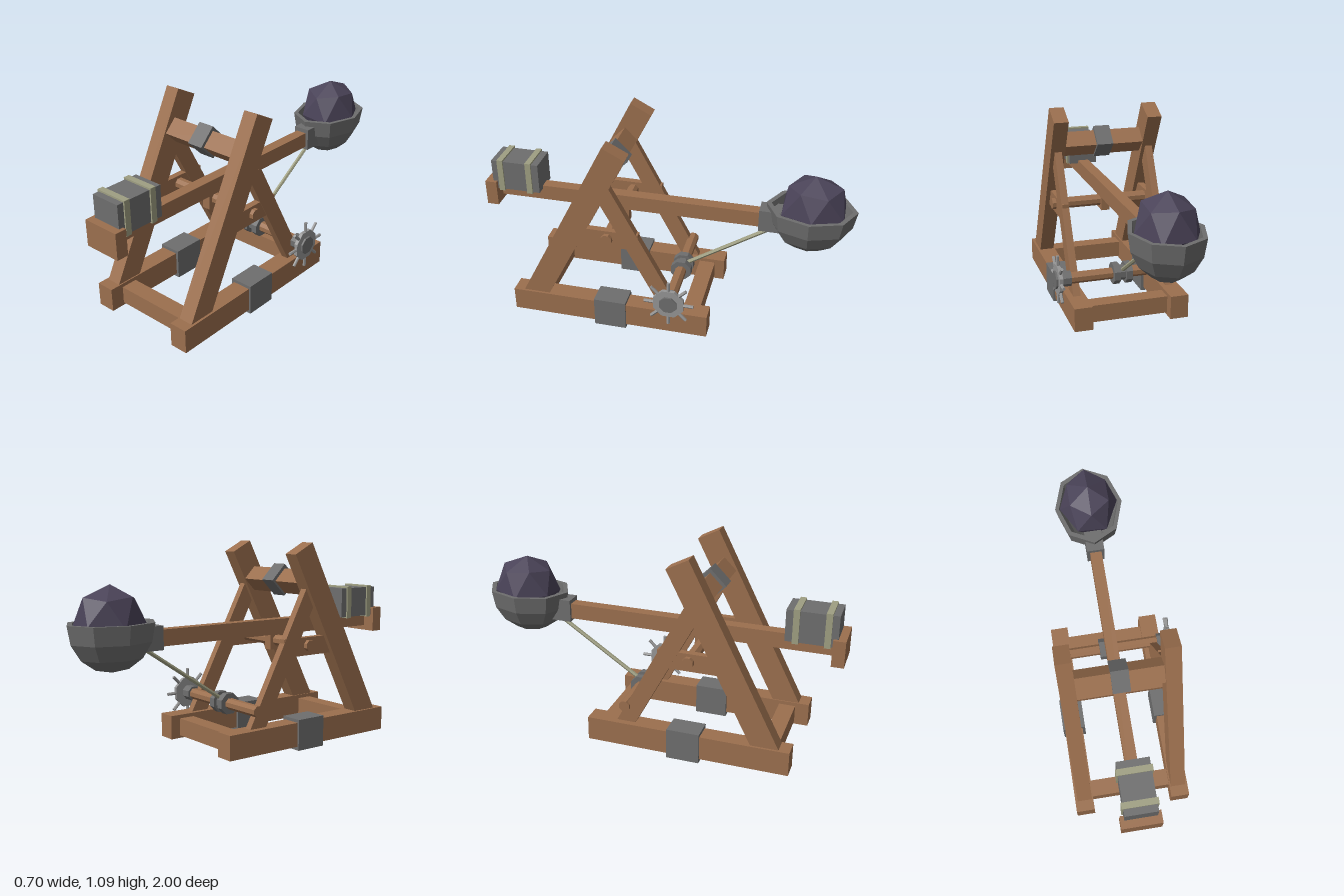
import * as THREE from 'three';
import { ConvexGeometry } from 'three/addons/geometries/ConvexGeometry.js';

const material = (name, color, side = THREE.FrontSide) => {
  const m = new THREE.MeshStandardMaterial({ color, flatShading: true, side });
  m.name = name;
  return m;
};

export function createModel() {
  const wood = material('wood', 0x9b6f4e);
  const iron = material('iron', 0x6e6e6e);
  const steel = material('light steel', 0x969696);
  const rope = material('rope', 0x9f9f82);
  const stone = material('dark stone', 0x4a4358);

  const model = new THREE.Group();
  model.name = 'catapult';
  const machine = new THREE.Group();
  machine.name = 'machine';
  machine.position.x = -0.025; // the hand wheel sticks out on one side
  model.add(machine);

  const add = (name, geometry, mat) => {
    const mesh = new THREE.Mesh(geometry, mat);
    mesh.name = name;
    machine.add(mesh);
    return mesh;
  };
  // box from centre x, width and the y and z ranges
  const box = (name, mat, x, w, y0, y1, z0, z1) => {
    const mesh = add(name, new THREE.BoxGeometry(w, y1 - y0, z1 - z0), mat);
    mesh.position.set(x, (y0 + y1) / 2, (z0 + z1) / 2);
    return mesh;
  };
  // round bar between two points
  const bar = (name, mat, a, b, r, sides = 8) => {
    const from = new THREE.Vector3(...a), to = new THREE.Vector3(...b);
    const dir = to.clone().sub(from);
    const g = new THREE.CylinderGeometry(r, r, dir.length(), sides);
    g.rotateY(Math.PI / sides);
    const mesh = add(name, g, mat);
    mesh.position.copy(from).add(to).multiplyScalar(0.5);
    mesh.quaternion.setFromUnitVectors(new THREE.Vector3(0, 1, 0), dir.normalize());
    return mesh;
  };
  // sloping timber between two (z, y) points
  const timber = (name, x, w, thick, [z0, y0], [z1, y1]) => {
    const mesh = add(name, new THREE.BoxGeometry(w, Math.hypot(z1 - z0, y1 - y0), thick), wood);
    mesh.position.set(x, (y0 + y1) / 2, (z0 + z1) / 2);
    mesh.rotation.x = Math.atan2(z1 - z0, y1 - y0);
  };

  // side frames
  for (const s of [-1, 1]) {
    box('baseBeam', wood, s * 0.265, 0.1, 0.02, 0.15, -0.29, 0.8);
    box('baseBand', iron, s * 0.2625, 0.125, 0, 0.167, 0.157, 0.333);
    timber('mainPost', s * 0.262, 0.081, 0.13, [0.7, 0.09], [0.2, 1.063]);
    timber('rearBrace', s * 0.261, 0.04, 0.091, [-0.109, 0.1], [0.246, 0.77]);
    timber('rearBraceTop', s * 0.261, 0.04, 0.091, [0.246, 0.77], [0.28, 0.834]);
    box('axlePlank', wood, s * 0.261, 0.036, 0.497, 0.594, 0.09, 0.46);
  }

  // cross members
  box('frontCrossBeam', wood, 0, 0.45, 0.035, 0.13, 0.635, 0.725);
  box('rearCrossBeam', wood, 0, 0.45, 0.035, 0.13, -0.235, -0.145);
  box('stopBeam', wood, 0, 0.46, 0.831, 0.927, 0.243, 0.339).rotation.x = Math.PI / 4;
  box('stopBand', iron, 0, 0.09, 0.8225, 0.9455, 0.2295, 0.3525).rotation.x = Math.PI / 4;

  // throwing arm on its axle
  bar('armAxle', wood, [-0.3, 0.55, 0.257], [0.3, 0.55, 0.257], 0.031);
  box('axleBlock', wood, 0, 0.046, 0.5, 0.6, 0.21, 0.305);
  box('throwingArm', wood, 0, 0.063, 0.583, 0.668, -0.55, 0.95);
  box('armSocket', iron, 0, 0.095, 0.567, 0.69, -0.62, -0.5);

  // counterweight
  box('endBoard', wood, 0, 0.207, 0.555, 0.695, 0.936, 1);
  box('counterweight', iron, 0, 0.166, 0.65, 0.818, 0.695, 0.96);
  for (const z of [0.749, 0.909]) {
    box('counterweightStrap', rope, 0, 0.182, 0.643, 0.827, z - 0.016, z + 0.016);
  }

  // eight-sided oval bowl, outer wall up, over the rim and down inside
  const profile = [];
  for (let i = 0; i <= 4; i++) {
    const a = (i * Math.PI) / 8;
    profile.push(new THREE.Vector2(Math.sin(a) * 0.235, -Math.cos(a) * 0.245));
  }
  for (let i = 4; i >= 0; i--) {
    const a = (i * Math.PI) / 8;
    profile.push(new THREE.Vector2(Math.sin(a) * 0.208, -Math.cos(a) * 0.218));
  }
  const bowl = add('bowl', new THREE.LatheGeometry(profile, 8), iron);
  bowl.scale.x = 0.79;
  bowl.position.set(0, 0.721, -0.765);

  // faceted boulder: staggered rings between two tips
  const points = [new THREE.Vector3(0, 0.905, 0.005), new THREE.Vector3(0, 0.55, 0)];
  [[0.135, 0.832, 0], [0.178, 0.7, 0.5], [0.12, 0.6, 0]].forEach(([r, y, turn]) => {
    for (let i = 0; i < 6; i++) {
      const a = ((i + turn) * Math.PI) / 3;
      points.push(new THREE.Vector3(Math.sin(a) * r * 0.9, y + (i % 2) * 0.016, Math.cos(a) * r * 1.03));
    }
  });
  add('boulder', new ConvexGeometry(points), stone).position.z = -0.775;

  // winch
  const wy = 0.24, wz = -0.09;
  const along = (name, mat, x0, x1, r) => bar(name, mat, [x0, wy, wz], [x1, wy, wz], r);
  along('winchShaft', wood, -0.292, 0.3, 0.031);
  along('drumCore', iron, -0.04, 0.04, 0.042);
  along('drumFlange', iron, -0.05, -0.014, 0.06);
  along('drumFlange', iron, 0.018, 0.054, 0.06);
  along('wheelHub', iron, 0.285, 0.345, 0.042);
  along('handWheel', steel, 0.343, 0.362, 0.088);
  along('wheelCap', iron, 0.36, 0.372, 0.05);
  for (let i = 0; i < 8; i++) {
    const a = (i * Math.PI) / 4, c = Math.cos(a), s = Math.sin(a);
    bar('wheelHandle', steel, [0.353, wy + 0.05 * c, wz + 0.05 * s], [0.353, wy + 0.134 * c, wz + 0.134 * s], 0.009, 6);
  }
  bar('pullRope', rope, [0, 0.255, -0.1], [0, 0.585, -0.6], 0.011, 6);

  return model;
}
